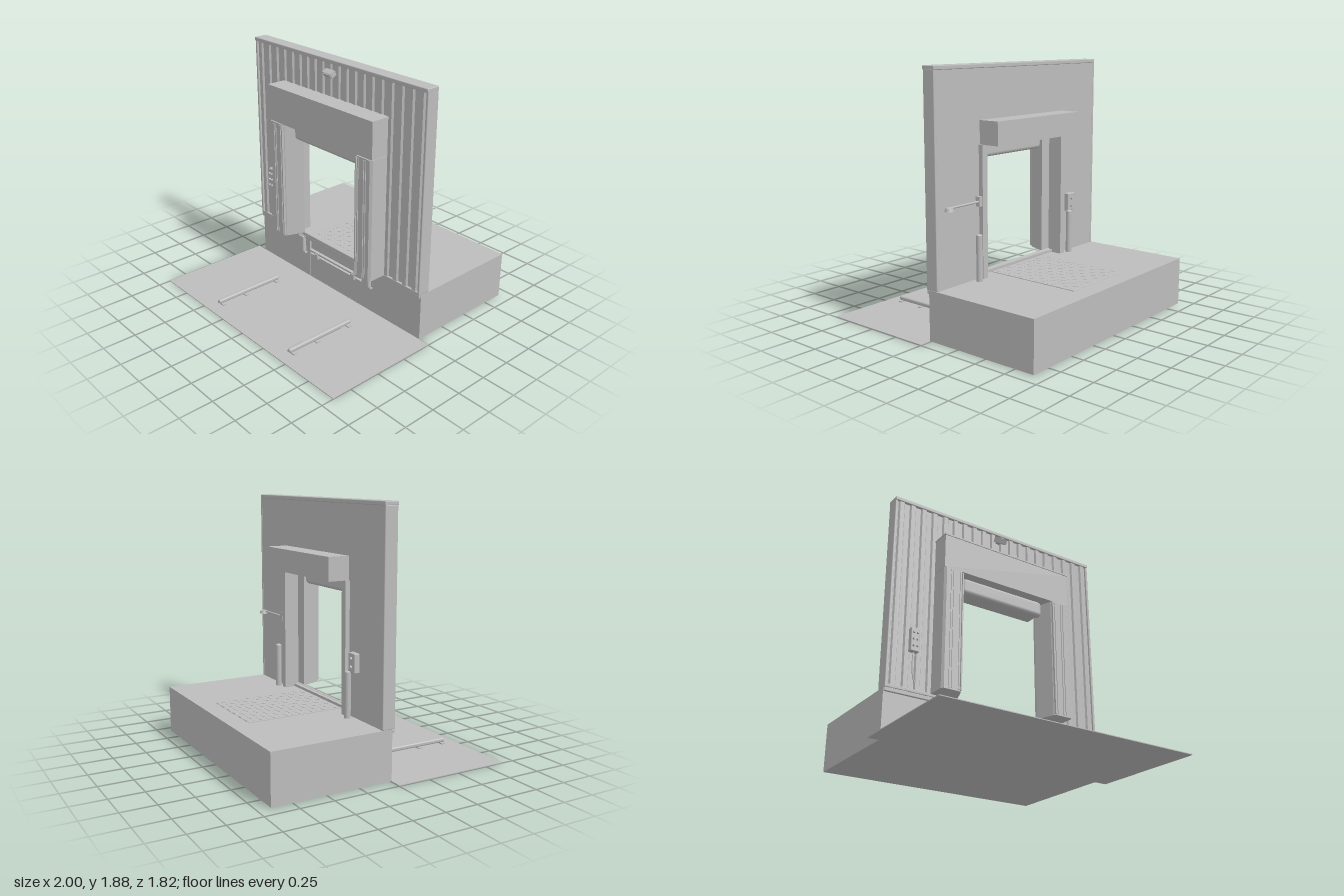
import * as THREE from 'three';
import { RoundedBoxGeometry } from 'three/addons/geometries/RoundedBoxGeometry.js';

export function createModel() {
  const root = new THREE.Group();
  const grey = new THREE.MeshStandardMaterial({ color: 0xbcbcbc });
  grey.name = 'lightGrey';

  const add = (name, geo, x = 0, y = 0, z = 0, parent = root) => {
    const m = new THREE.Mesh(geo, grey);
    m.name = name;
    m.position.set(x, y, z);
    parent.add(m);
    return m;
  };
  // Box given by its limits on each axis
  const box = (name, x0, x1, y0, y1, z0, z1, r = 0) => {
    const s = [x1 - x0, y1 - y0, z1 - z0];
    const g = r ? new RoundedBoxGeometry(...s, 2, r) : new THREE.BoxGeometry(...s);
    return add(name, g, (x0 + x1) / 2, (y0 + y1) / 2, (z0 + z1) / 2);
  };
  // Plan outline of [x, z] points raised from y0 to y1
  const raise = (name, pts, y0, y1) => {
    const shape = new THREE.Shape(pts.map(([x, z]) => new THREE.Vector2(x, -z)));
    const g = new THREE.ExtrudeGeometry(shape, { depth: y1 - y0, bevelEnabled: false });
    return add(name, g.rotateX(-Math.PI / 2), 0, y0, 0);
  };
  const rod = (name, r, a, b) => {
    const curve = new THREE.LineCurve3(new THREE.Vector3(...a), new THREE.Vector3(...b));
    return add(name, new THREE.TubeGeometry(curve, 1, r, 10));
  };

  // Yard slab and dock platform with a leveller pit
  box('yardSlab', -1, 1, 0, 0.006, 0, 0.905);
  box('platformRight', -0.91, -0.303, 0.006, 0.37, -0.91, 0);
  box('platformLeft', 0.303, 0.91, 0.006, 0.37, -0.91, 0);
  box('platformBack', -0.303, 0.303, 0.006, 0.37, -0.91, -0.77);
  box('pitFloor', -0.303, 0.303, 0.006, 0.21, -0.77, -0.005);

  // Leveller deck, tread marks, hinge and hanging lip
  box('levellerDeck', -0.298, 0.298, 0.355, 0.372, -0.77, 0);
  const tread = new THREE.InstancedMesh(new THREE.BoxGeometry(0.034, 0.004, 0.007), grey, 1);
  const treadGeo = tread.geometry;
  for (let i = 0; i < 10; i++) {
    for (let j = 0; j < 14; j++) {
      const m = add('treadMark', treadGeo, -0.261 + i * 0.058, 0.373, -0.72 + j * 0.05);
      m.rotation.y = (i + j) % 2 ? 0.6 : -0.6;
    }
  }
  for (let i = 0; i < 6; i++) {
    const x = -0.25 + i * 0.1;
    rod('hingeKnuckle', 0.009, [x - 0.02, 0.37, -0.765], [x + 0.02, 0.37, -0.765]);
  }
  box('levellerLip', -0.298, 0.298, 0.26, 0.355, -0.025, -0.005, 0.006);
  box('lipEdge', -0.3, 0.3, 0.238, 0.252, -0.02, 0.008);
  for (const x of [-0.215, 0.21]) box('lipKeeper', x - 0.018, x + 0.018, 0.2, 0.245, -0.01, 0.016);

  // Ribbed wall around the doorway
  const ribbed = (name, x0, x1, y0, y1) => {
    const pts = [[x0, -0.075], [x0, 0.006]];
    const n = Math.round((x1 - x0) / 0.086);
    const p = (x1 - x0) / n;
    for (let i = 0; i < n; i++) {
      const x = x0 + i * p;
      pts.push([x + p * 0.22, 0.006], [x + p * 0.32, 0.02], [x + p * 0.68, 0.02], [x + p * 0.78, 0.006]);
    }
    pts.push([x1, 0.006], [x1, -0.075]);
    return raise(name, pts.reverse(), y0, y1);
  };
  ribbed('wallRight', -0.9, -0.43, 0.37, 1.86);
  ribbed('wallLeft', 0.43, 0.9, 0.37, 1.86);
  ribbed('wallAboveDoor', -0.43, 0.43, 1.34, 1.86);
  box('wallCap', -0.91, 0.91, 1.855, 1.885, -0.08, 0.027, 0.006);
  box('wallSill', -0.91, 0.91, 0.342, 0.372, 0, 0.018, 0.005);
  box('wallBaseTrim', -0.91, 0.91, 0.37, 0.395, 0, 0.022, 0.005);
  box('doorThreshold', -0.43, 0.43, 0.372, 0.392, -0.03, 0.02);

  // Dock shelter: head box, curtain and roller housing
  box('shelterHead', -0.56, 0.56, 1.33, 1.6, 0.015, 0.165);
  box('shelterHeadCap', -0.565, 0.565, 1.598, 1.61, 0.015, 0.172);
  box('headCurtain', -0.36, 0.36, 1.208, 1.335, 0.03, 0.1, 0.03);
  box('rollerHousing', -0.468, 0.468, 1.33, 1.5, -0.24, -0.075);

  for (const s of [-1, 1]) {
    const side = s < 0 ? 'right' : 'left';
    // Side pad with a slanted inner face and pleats
    const pad = [[0.56, 0.015], [0.56, 0.155], [0.545, 0.172], [0.42, 0.172], [0.4, 0.155], [0.35, 0.015]];
    const pts = pad.map(([x, z]) => [x * s, z]);
    if (s > 0) pts.reverse();
    raise(side + 'ShelterPad', pts, 0.39, 1.327);
    for (const x of [0.505, 0.485, 0.43, 0.41]) {
      box(side + 'PadPleat', s * x - 0.005, s * x + 0.005, 0.4, 1.315, 0.15, 0.178);
    }
    box(side + 'WallEndTrim', s * 0.9 - 0.01, s * 0.9 + 0.01, 0.37, 1.86, -0.078, 0.022, 0.006);

    // Door track and guard post inside
    box(side + 'DoorTrack', s * 0.455 - 0.025, s * 0.455 + 0.025, 0.37, 1.33, -0.11, -0.07);
    add(side + 'GuardPost', new THREE.CylinderGeometry(0.023, 0.023, 0.33, 20), s * 0.53, 0.535, -0.12);
    add(side + 'PostTop', new THREE.SphereGeometry(0.023, 20, 6, 0, Math.PI * 2, 0, Math.PI / 2)
      .scale(1, 0.4, 1), s * 0.53, 0.7, -0.12);

    // Bumper on the dock face
    box(side + 'Bumper', s * 0.38 - 0.035, s * 0.38 + 0.035, 0.215, 0.36, 0, 0.036, 0.012);
    box(side + 'BumperFoot', s * 0.38 - 0.045, s * 0.38 + 0.045, 0.207, 0.217, 0, 0.025);
    box(side + 'BumperBracket', s * 0.38 - 0.045, s * 0.38 + 0.045, 0.355, 0.365, 0, 0.025);

    // Wheel guide on three feet
    box(side + 'WheelGuide', s * 0.43 - 0.017, s * 0.43 + 0.017, 0.014, 0.048, 0.24, 0.815, 0.012);
    for (const z of [0.27, 0.57, 0.785]) {
      box(side + 'GuideFoot', s * 0.43 - 0.037, s * 0.43 + 0.037, 0.004, 0.014, z - 0.015, z + 0.015);
    }
  }

  // Tilted lamp above the door
  const lamp = new THREE.Group();
  lamp.name = 'wallLamp';
  lamp.position.set(0, 1.795, 0.055);
  lamp.rotation.x = 0.55;
  root.add(lamp);
  add('lampBody', new THREE.BoxGeometry(0.09, 0.04, 0.045), 0, 0, 0, lamp);
  add('lampLens', new THREE.BoxGeometry(0.075, 0.028, 0.006), 0, 0, 0.024, lamp);
  box('lampBracket', -0.015, 0.015, 1.785, 1.805, 0.01, 0.045);

  // Outside control box and its cable
  box('outsideControlBox', -0.748, -0.68, 0.66, 0.84, 0.015, 0.058, 0.006);
  for (const y of [0.7, 0.75, 0.8]) {
    for (const x of [-0.73, -0.7]) {
      add('controlButton', new THREE.CylinderGeometry(0.008, 0.008, 0.02, 12).rotateX(Math.PI / 2), x, y, 0.066);
    }
  }
  const cable = new THREE.CatmullRomCurve3([[-0.715, 0.66], [-0.717, 0.55], [-0.707, 0.47], [-0.69, 0.43]]
    .map(([x, y]) => new THREE.Vector3(x, y, 0.032)));
  add('controlCable', new THREE.TubeGeometry(cable, 16, 0.005, 8));

  // Inside control box
  box('insideControlBox', -0.61, -0.525, 0.7, 0.84, -0.115, -0.07, 0.006);
  for (const y of [0.74, 0.8]) {
    add('insideButton', new THREE.CylinderGeometry(0.012, 0.012, 0.016, 14).rotateX(Math.PI / 2), -0.567, y, -0.12);
  }

  // Swing arm lamp inside
  box('armBracket', 0.485, 0.515, 0.9, 0.97, -0.11, -0.07);
  rod('swingArm', 0.008, [0.5, 0.935, -0.1], [0.815, 0.935, -0.1]);
  add('armLampHead', new THREE.CylinderGeometry(0.026, 0.033, 0.025, 20), 0.815, 0.928, -0.11);

  return root;
}
